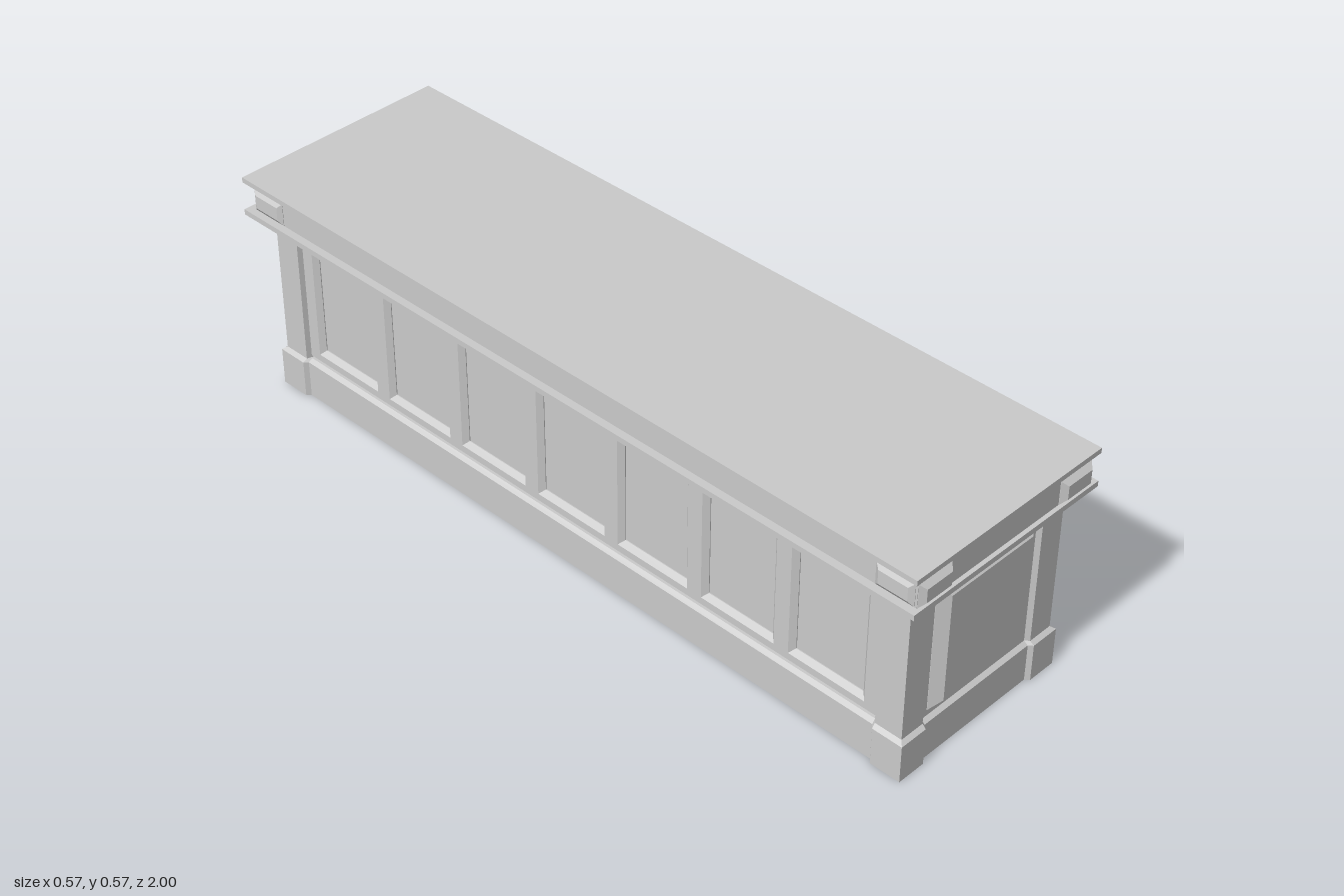
import * as THREE from 'three';

const material = new THREE.MeshStandardMaterial({ color: 0xcccccc, flatShading: true });

// Closed solid lofted upward through rings { y, pts: [[x, z], ...] } with flat caps
function loft(rings) {
  const pos = [];
  const tri = (...v) => v.forEach((p) => pos.push(...p));
  const at = (r, i) => {
    const [x, z] = r.pts[i % r.pts.length];
    return [x, r.y, z];
  };
  for (let k = 0; k < rings.length - 1; k++) {
    const lo = rings[k], hi = rings[k + 1];
    for (let i = 0; i < lo.pts.length; i++) {
      tri(at(lo, i), at(hi, i), at(hi, i + 1));
      tri(at(lo, i), at(hi, i + 1), at(lo, i + 1));
    }
  }
  // Outlines run from +x towards +z, so cap triangles face down as given
  const cap = (r, up) => {
    const pts = r.pts.map(([x, z]) => new THREE.Vector2(x, z));
    for (const [a, b, c] of THREE.ShapeUtils.triangulateShape(pts, [])) {
      if (up) tri(at(r, a), at(r, c), at(r, b));
      else tri(at(r, a), at(r, b), at(r, c));
    }
  };
  cap(rings[0], false);
  cap(rings[rings.length - 1], true);
  const g = new THREE.BufferGeometry();
  g.setAttribute('position', new THREE.Float32BufferAttribute(pos, 3));
  g.computeVertexNormals();
  return g;
}

const rect = (y, x0, x1, z0, z1) => ({ y, pts: [[x1, z0], [x1, z1], [x0, z1], [x0, z0]] });

// Plan outline with four projecting corner pillars; the -x side may be set deeper
function outline(y, hx, hz, px, pz, depth, leftDepth = depth) {
  const s = 0.008;
  const corner = (sx, sz) => {
    const d = sx < 0 ? leftDepth : depth;
    return [
      [sx * (hx - d), sz * (pz - s)], [sx * hx, sz * pz], [sx * hx, sz * hz],
      [sx * px, sz * hz], [sx * (px - s), sz * (hz - depth)],
    ];
  };
  return {
    y,
    pts: [...corner(1, 1), ...corner(-1, 1).reverse(), ...corner(-1, -1), ...corner(1, -1).reverse()],
  };
}

// Raised block with chamfered edges, standing out along +z from its back plane
function raised(w, h, depth, straight, inset) {
  const a = w / 2, b = h / 2;
  const g = loft([
    rect(0, -a, a, -b, b),
    rect(straight, -a, a, -b, b),
    rect(depth, -a + inset, a - inset, -b + inset, b - inset),
  ]);
  return g.rotateX(Math.PI / 2);
}

export function createModel() {
  const model = new THREE.Group();
  const add = (name, geometry, x = 0, y = 0, z = 0, ry = 0) => {
    const m = new THREE.Mesh(geometry, material);
    m.name = name;
    m.position.set(x, y, z);
    m.rotation.y = ry;
    model.add(m);
    return m;
  };

  // Plinth, corner pillars and body in one stepped solid
  add('body', loft([
    outline(0, 0.248, 0.96, 0.174, 0.882, 0.01),
    outline(0.096, 0.248, 0.96, 0.174, 0.882, 0.01),
    outline(0.104, 0.238, 0.95, 0.173, 0.88, 0.01),
    outline(0.104, 0.238, 0.95, 0.173, 0.88, 0.01, 0.024),
    outline(0.46, 0.238, 0.95, 0.173, 0.88, 0.01, 0.024),
  ]));

  // Seven recessed panels framed along the -x side
  const frame = new THREE.Shape([[-0.885, 0.1], [0.885, 0.1], [0.885, 0.46], [-0.885, 0.46]]
    .map(([x, y]) => new THREE.Vector2(x, y)));
  const bevel = 0.012, pitch = 0.246;
  for (let i = -3; i <= 3; i++) {
    const c = i * pitch, w = 0.103 - bevel;
    frame.holes.push(new THREE.Path([
      [c - w, 0.142], [c - w, 0.428], [c + w, 0.428], [c + w, 0.142],
    ].map(([x, y]) => new THREE.Vector2(x, y))));
  }
  const frameGeometry = new THREE.ExtrudeGeometry(frame, {
    depth: 0.002, bevelEnabled: true, bevelSegments: 1,
    bevelSize: bevel, bevelOffset: -bevel, bevelThickness: 0.012,
  });
  add('sidePanelFrame', frameGeometry, -0.214, 0, 0, -Math.PI / 2);

  // Raised panels on both ends
  const endPanel = raised(0.3, 0.325, 0.024, 0.003, 0.024);
  add('frontPanel', endPanel, 0, 0.2825, 0.938);
  add('backPanel', endPanel, 0, 0.2825, -0.938, Math.PI);

  // Lower moulding, frieze and worktop
  add('lowerMoulding', loft([
    rect(0.458, -0.236, 0.236, -0.95, 0.948),
    rect(0.476, -0.286, 0.285, -1, 0.994),
    rect(0.49, -0.286, 0.285, -1, 0.994),
  ]));
  add('frieze', loft([
    rect(0.489, -0.267, 0.265, -0.98, 0.984),
    rect(0.552, -0.267, 0.265, -0.98, 0.984),
  ]));
  add('worktop', loft([
    rect(0.55, -0.266, 0.266, -0.982, 0.984),
    rect(0.562, -0.284, 0.283, -1, 0.994),
    rect(0.575, -0.284, 0.283, -1, 0.994),
  ]));

  // Chamfered corner blocks on the frieze: both ends and the panelled side
  const block = raised(0.098, 0.058, 0.014, 0.002, 0.012);
  const sideBlock = raised(0.098, 0.058, 0.01, 0.002, 0.012);
  for (const s of [-1, 1]) {
    add('frontBlock', block, s * 0.217, 0.52, 0.983);
    add('backBlock', block, s * 0.217, 0.52, -0.979, Math.PI);
    add('sideBlock', sideBlock, -0.266, 0.52, s * 0.93, -Math.PI / 2);
  }
  return model;
}
